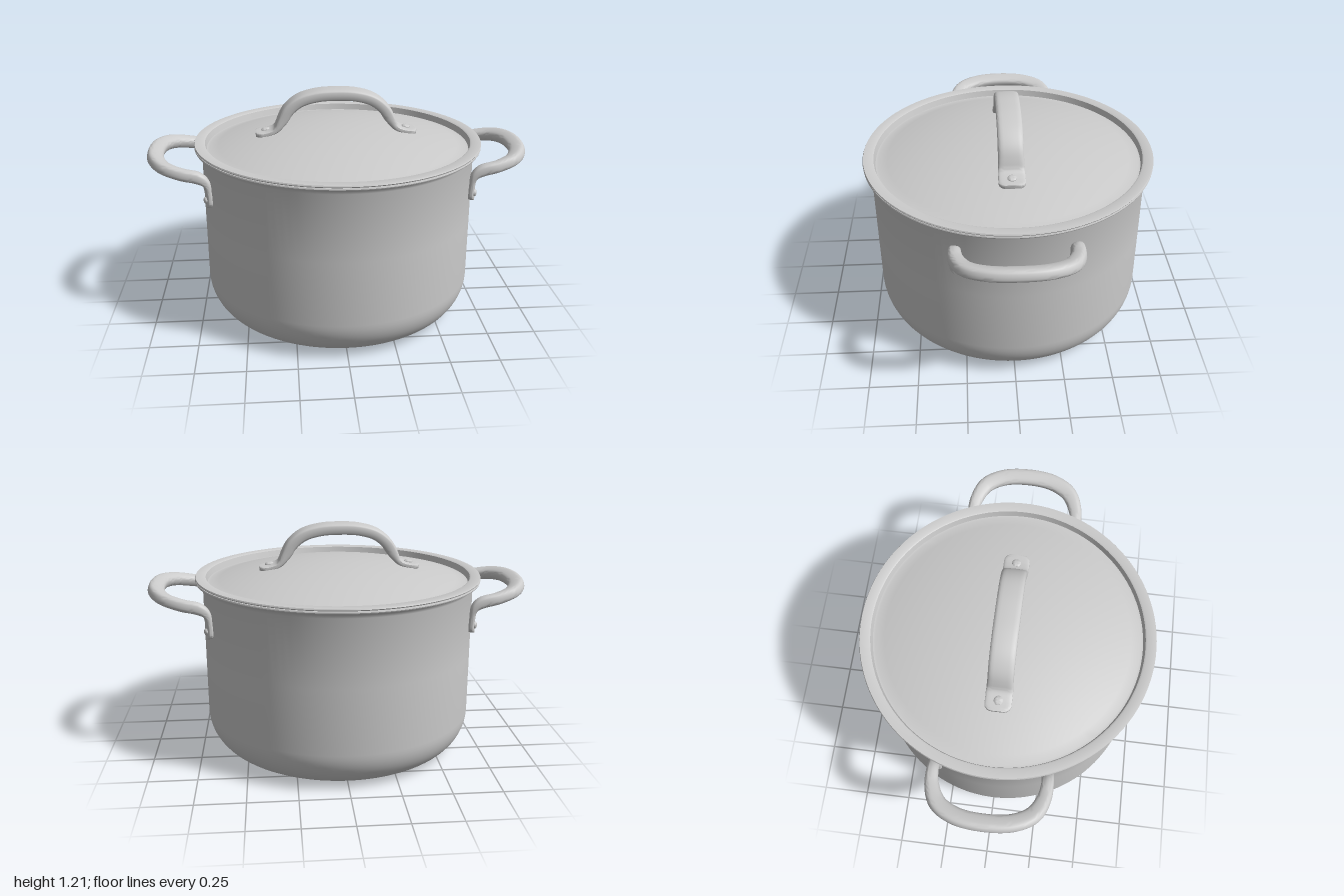
import * as THREE from 'three';
import { toCreasedNormals } from 'three/addons/utils/BufferGeometryUtils.js';

const material = new THREE.MeshStandardMaterial({ color: 0xcccccc });

function part(name, geometry, crease = 0.7) {
  const mesh = new THREE.Mesh(toCreasedNormals(geometry, crease), material);
  mesh.name = name;
  return mesh;
}

const lathe = (points, segments) =>
  new THREE.LatheGeometry(points.map(([r, y]) => new THREE.Vector2(r, y)), segments);

// Rounded bar swept along a curve; size(d) gives [width, thickness] at distance d from the nearer end,
// hint(p) gives the rough direction of the thickness.
function sweep(points, size, hint, squareness, steps = 90, sides = 24) {
  const curve = new THREE.CatmullRomCurve3(points.map(p => new THREE.Vector3(...p)), false, 'centripetal');
  curve.arcLengthDivisions = 600;
  const length = curve.getLength();
  const position = [], index = [];
  const bend = v => Math.sign(v) * Math.abs(v) ** squareness;
  for (let i = 0; i <= steps; i++) {
    const u = 0.5 - 0.5 * Math.cos(Math.PI * i / steps);
    const p = curve.getPointAt(u), t = curve.getTangentAt(u);
    const n = hint(p);
    n.addScaledVector(t, -n.dot(t)).normalize();
    const b = new THREE.Vector3().crossVectors(n, t);
    const [w, h] = size(Math.min(u, 1 - u) * length);
    for (let j = 0; j < sides; j++) {
      const a = 2 * Math.PI * j / sides;
      const v = p.clone().addScaledVector(b, bend(Math.cos(a)) * w / 2)
        .addScaledVector(n, bend(Math.sin(a)) * h / 2);
      position.push(v.x, v.y, v.z);
      if (i < steps) {
        const k = i * sides + j, l = i * sides + (j + 1) % sides;
        index.push(k, l, k + sides, l, l + sides, k + sides);
      }
    }
  }
  // End caps
  const start = position.length / 3, last = steps * sides;
  for (const u of [0, 1]) position.push(...curve.getPointAt(u).toArray());
  for (let j = 0; j < sides; j++) {
    const l = (j + 1) % sides;
    index.push(start, l, j, start + 1, last + j, last + l);
  }
  const geometry = new THREE.BufferGeometry();
  geometry.setAttribute('position', new THREE.Float32BufferAttribute(position, 3));
  geometry.setIndex(index);
  return geometry;
}

// Width of a tab whose end corners have radius r
const tabWidth = (w, r, d) => d >= r ? w : w - 2 * r + 2 * Math.sqrt(Math.max(0, r * r - (r - d) ** 2));

function rivet(radius, at, direction) {
  const r = radius;
  const mesh = part('rivet', lathe([[r, -0.012], [r, 0.004], [r * 0.85, 0.008], [r * 0.5, 0.011], [0, 0.012]], 20));
  mesh.position.set(...at);
  mesh.quaternion.setFromUnitVectors(new THREE.Vector3(0, 1, 0), direction.normalize());
  return mesh;
}

function makePot() {
  const profile = [[0, 0.004], [0.5, 0.004]];
  // Rounded lower edge
  for (let i = 0; i <= 14; i++) {
    const a = Math.PI / 2 * i / 14;
    profile.push([0.53 + 0.187 * Math.sin(a), 0.21 - 0.206 * Math.cos(a)]);
  }
  // Wall, flared rim and inside
  profile.push([0.717, 0.55], [0.717, 0.895], [0.722, 0.91], [0.735, 0.921], [0.753, 0.925],
    [0.755, 0.93], [0.753, 0.936], [0.715, 0.934], [0.703, 0.915], [0.7, 0.89], [0.7, 0.21]);
  for (let i = 1; i <= 8; i++) {
    const a = Math.PI / 2 * i / 8;
    profile.push([0.53 + 0.17 * Math.cos(a), 0.21 - 0.186 * Math.sin(a)]);
  }
  profile.push([0, 0.024]);
  return part('pot', lathe(profile, 112));
}

function makeLid() {
  const dome = r => 1.006 - 0.2 * r * r;
  const radii = Array.from({ length: 15 }, (_, i) => 0.68 * i / 14);
  const profile = radii.map(r => [r, dome(r) - 0.012]);
  // Recessed edge and flat flange
  profile.push([0.696, 0.905], [0.7, 0.938], [0.753, 0.939], [0.756, 0.944], [0.753, 0.95],
    [0.708, 0.951], [0.7, 0.947], [0.692, 0.914]);
  radii.reverse().forEach(r => profile.push([r, dome(r)]));
  return part('lid', lathe(profile, 112));
}

function makeLidHandle() {
  const group = new THREE.Group();
  group.name = 'lidHandle';
  const half = [[0.425, 0.979], [0.365, 0.986], [0.318, 1.004], [0.285, 1.05], [0.25, 1.105],
    [0.19, 1.152], [0.1, 1.178]];
  const path = [...half.map(([x, y]) => [-x, y, 0]), [0, 1.184, 0], ...half.reverse().map(([x, y]) => [x, y, 0])];
  const size = d => {
    const k = THREE.MathUtils.smoothstep(d, 0.08, 0.2);
    return [tabWidth(0.134 - 0.006 * k, 0.035, d), 0.026 + 0.034 * k];
  };
  group.add(part('lidHandleBar', sweep(path, size, () => new THREE.Vector3(0, 1, 0), 0.45)));
  for (const s of [-1, 1])
    group.add(rivet(0.023, [s * 0.373, 0.997, 0], new THREE.Vector3(s * 0.13, 1, 0)));
  group.position.x = -0.008;
  return group;
}

function makeSideHandle(name) {
  const group = new THREE.Group();
  group.name = name;
  const half = [[0.673, 0.678, 0.283], [0.674, 0.755, 0.283], [0.684, 0.808, 0.284], [0.72, 0.836, 0.285],
    [0.8, 0.853, 0.276], [0.888, 0.873, 0.232], [0.94, 0.886, 0.14]];
  const path = [...half, [0.957, 0.891, 0], ...half.map(([x, y, z]) => [x, y, -z]).reverse()];
  const size = d => {
    const k = THREE.MathUtils.smoothstep(d, 0.08, 0.19);
    const wide = THREE.MathUtils.smoothstep(d, 0.15, 0.4);
    return [tabWidth(0.06 + 0.025 * wide, 0.029, d), 0.03 + 0.032 * k];
  };
  // Thickness points up along the loop and towards the pot at the feet
  const hint = p => new THREE.Vector3(-0.35, 1, -0.42 * 0.35 * p.z / 0.283);
  group.add(part(name + 'Bar', sweep(path, size, hint, 0.7, 110)));
  for (const s of [-1, 1])
    group.add(rivet(0.018, [0.686, 0.718, s * 0.289], new THREE.Vector3(0.673, 0, s * 0.283)));
  return group;
}

export function createModel() {
  const model = new THREE.Group();
  model.name = 'cookingPot';
  const left = makeSideHandle('leftHandle');
  const right = makeSideHandle('rightHandle');
  right.rotation.y = Math.PI;
  model.add(makePot(), makeLid(), makeLidHandle(), left, right);
  return model;
}
